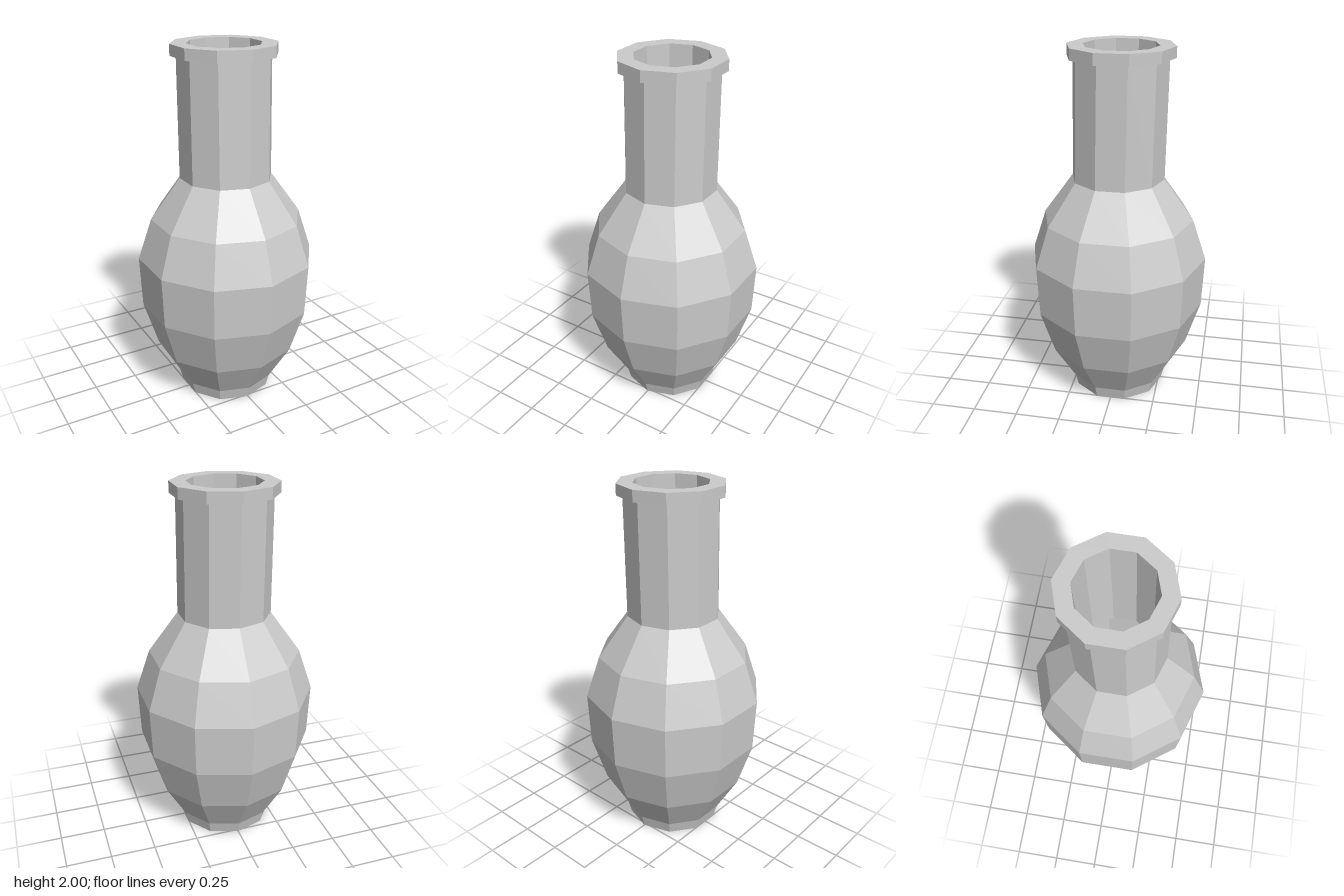
import * as THREE from 'three';

const SIDES = 10;
const NECK_BASE = 1.29;
const LEAN = 0.021; // the neck drifts slightly backwards as it rises

// Faceted ring of surfaces turned from [radius, height] pairs
function turned(name, profile, material) {
  const points = profile.map(([r, y]) => new THREE.Vector2(r, y));
  const geometry = new THREE.LatheGeometry(points, SIDES);
  const pos = geometry.attributes.position;
  for (let i = 0; i < pos.count; i++) {
    const rise = Math.max(0, pos.getY(i) - NECK_BASE);
    pos.setZ(i, pos.getZ(i) - LEAN * rise);
  }
  geometry.computeVertexNormals();
  const mesh = new THREE.Mesh(geometry, material);
  mesh.name = name;
  return mesh;
}

export function createModel() {
  const group = new THREE.Group();
  group.name = 'vase';
  const material = new THREE.MeshStandardMaterial({ color: 0xcccccc, flatShading: true });

  // Outside profiles run upwards, the inside runs downwards
  const parts = {
    foot: [[0, 0], [0.265, 0], [0.283, 0.07]],
    body: [[0.283, 0.07], [0.405, 0.28], [0.485, 0.54], [0.497, 0.83], [0.42, 1.06], [0.255, NECK_BASE]],
    neck: [[0.255, NECK_BASE], [0.253, 1.94]],
    rim: [[0.253, 1.94], [0.285, 1.94], [0.285, 2], [0.2, 2]],
    interior: [[0.2, 2], [0.2, 1.27], [0.37, 1.03], [0.44, 0.82], [0.43, 0.55], [0.35, 0.3], [0.23, 0.08], [0, 0.08]],
  };
  for (const [name, profile] of Object.entries(parts)) {
    group.add(turned(name, profile, material));
  }
  return group;
}
